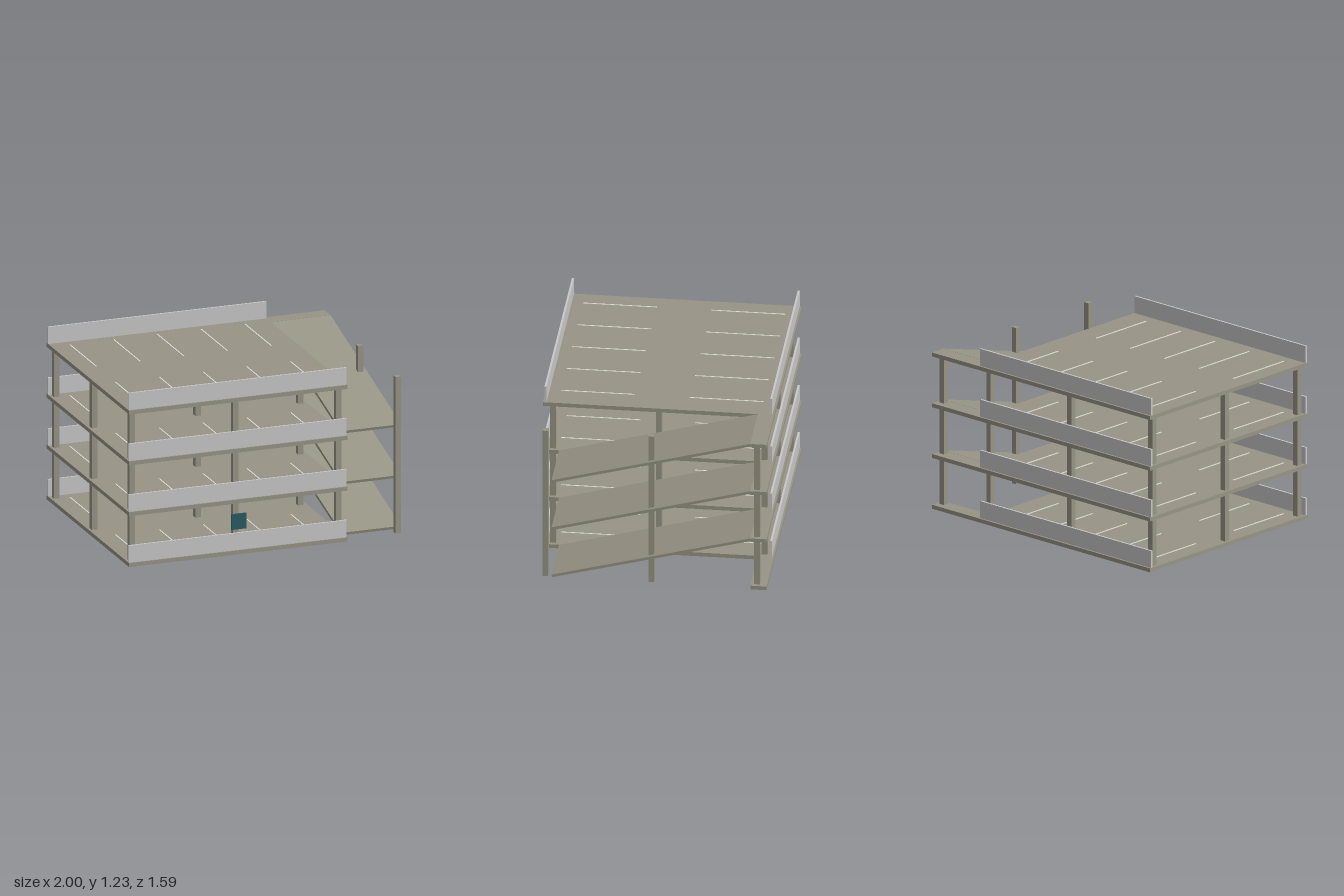
import * as THREE from 'three';

export function createModel() {
  const model = new THREE.Group();
  model.name = 'parkingGarage';

  const mat = (name, color) => {
    const m = new THREE.MeshStandardMaterial({ color });
    m.name = name;
    return m;
  };
  const concrete = mat('concrete', 0x989586);
  const parapetGrey = mat('parapet grey', 0xc8c8c8);
  const linePaint = mat('line paint', 0xdcdcd6);
  const signTeal = mat('sign teal', 0x2a5a62);

  // Box given by its min and max on each axis
  const box = (name, material, [x0, x1], [y0, y1], [z0, z1], parent = model) => {
    const mesh = new THREE.Mesh(new THREE.BoxGeometry(x1 - x0, y1 - y0, z1 - z0), material);
    mesh.position.set((x0 + x1) / 2, (y0 + y1) / 2, (z0 + z1) / 2);
    mesh.name = name;
    parent.add(mesh);
    return mesh;
  };

  const levels = 4, rise = 0.36, slab = 0.028;
  const deckEdge = 0.57, front = 0.773, back = -0.795;
  const rampFront = 0.66, rampBack = -0.685;

  for (let i = 0; i < levels; i++) {
    const floor = new THREE.Group();
    floor.name = 'floor' + i;
    model.add(floor);
    const y = i * rise, top = y + slab;

    // Deck and the landing beside it at the back
    box('deck', concrete, [-1, deckEdge], [y, top], [back, front], floor);
    box('landing', concrete, [deckEdge, 1], [y, top], [back, rampBack], floor);

    // Low walls along the front and back edges
    box('frontParapet', parapetGrey, [-1, deckEdge], [top, top + 0.12], [0.748, 0.762], floor);
    box('backParapet', parapetGrey, [-1, deckEdge], [top, top + 0.12], [-0.782, -0.768], floor);

    // Two rows of painted bay lines
    for (let k = 0; k < 5; k++) {
      const x = -0.87 + k * 0.315;
      for (const z of [[-0.7, -0.2], [0.17, 0.67]])
        box('bayLine', linePaint, [x - 0.005, x + 0.005], [top, top + 0.003], z, floor);
    }

    // Ramp climbing to the next floor, towards the back
    if (i < levels - 1) {
      const run = rampFront - rampBack;
      const ramp = new THREE.Mesh(
        new THREE.BoxGeometry(1 - deckEdge, 0.02, Math.hypot(run, rise)), concrete);
      ramp.name = 'ramp';
      ramp.rotation.x = Math.atan2(rise, run);
      ramp.position.set((1 + deckEdge) / 2, top + rise / 2 - 0.01, (rampFront + rampBack) / 2);
      floor.add(ramp);
    }
  }

  // Columns on a grid, the last row standing along the ramps
  const roof = (levels - 1) * rise + slab;
  for (const x of [-0.96, -0.215, 0.525, 0.955]) {
    for (const z of [0.708, -0.01, -0.727]) {
      const free = x > deckEdge && z > rampBack;
      const y = free ? [0, roof] : [0.005, roof - 0.005];
      box('column', concrete, [x - 0.02, x + 0.02], y, [z - 0.02, z + 0.02]);
    }
  }

  // Blank sign plate before the ground floor
  box('signPlate', signTeal, [-0.272, -0.162], [0.185, 0.295], [0.786, 0.795]);

  return model;
}
